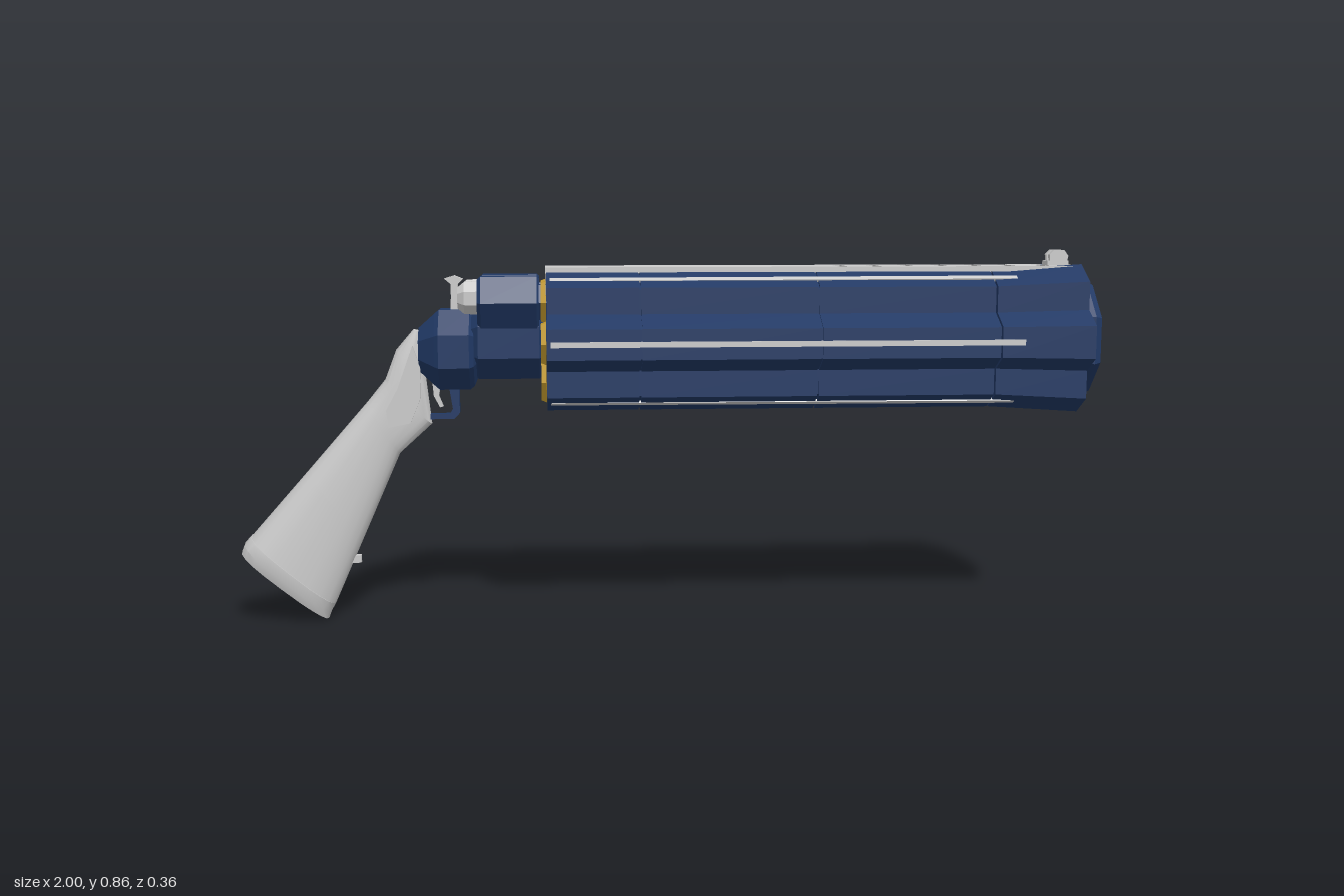
import * as THREE from 'three';
import { toCreasedNormals } from 'three/addons/utils/BufferGeometryUtils.js';

const AXIS = 0.66; // height of the barrel axis
const mat = (color, flatShading = true) =>
  new THREE.MeshStandardMaterial({ color, flatShading, side: THREE.DoubleSide });
const blue = mat(0x203864), grey = mat(0xcccccc), gold = mat(0xc29a2e), smooth = mat(0xcccccc, false);

export function createModel() {
  const model = new THREE.Group();
  const add = (name, geo, material, x = 0, y = 0, z = 0) => {
    const mesh = new THREE.Mesh(geo, material);
    mesh.name = name;
    mesh.position.set(x, y, z);
    model.add(mesh);
    return mesh;
  };
  const box = (name, m, w, h, d, x, y, z) => add(name, new THREE.BoxGeometry(w, h, d), m, x, y, z);

  // Faceted solid turned around the x axis, profile given as [x, apothem]
  const turned = (name, m, sides, profile, y = AXIS, z = 0) => {
    const k = 1 / Math.cos(Math.PI / sides);
    const pts = profile.map(([x, r]) => new THREE.Vector2(r * k, x));
    const geo = new THREE.LatheGeometry(pts, sides, Math.PI / sides);
    return add(name, geo.rotateZ(-Math.PI / 2), m, 0, y, z);
  };

  // Side profile in x, y extruded to a width centred on z
  const sideCut = (name, m, pts, width, z = 0) => {
    const shape = new THREE.Shape(pts.map(p => new THREE.Vector2(...p)));
    const geo = new THREE.ExtrudeGeometry(shape, { depth: width, bevelEnabled: false });
    return add(name, geo.translate(0, 0, -width / 2), m, 0, 0, z);
  };

  // Six-lobed barrel section
  const star = (s = 1) => {
    const pts = [];
    for (let i = 0; i < 6; i++) {
      for (const [r, w] of [[0.165, -0.035], [0.165, 0.035], [0.1128, 0.0651]]) {
        pts.push(new THREE.Vector2(r * s, w * s).rotateAround(new THREE.Vector2(), i * Math.PI / 3));
      }
    }
    return new THREE.Shape(pts);
  };
  const along = (shape, x0, x1) =>
    new THREE.ExtrudeGeometry(shape, { depth: x1 - x0, bevelEnabled: false })
      .rotateY(Math.PI / 2).translate(x0, 0, 0);

  // Barrel body in three lengths with fine joints over a core
  add('barrelCore', along(star(0.97), -0.28, 0.6), blue, 0, AXIS);
  const joints = [-0.285, -0.07, 0.34, 0.755];
  for (let i = 0; i < 3; i++) {
    add('barrelSection', along(star(), joints[i] + 0.002, joints[i + 1] - 0.002), blue, 0, AXIS);
  }

  // Flared muzzle section, open in the middle
  const flareShape = star();
  const hole = new THREE.Path();
  for (let i = 0; i < 8; i++) {
    const a = (i + 0.5) * Math.PI / 4, r = 0.118;
    hole[i ? 'lineTo' : 'moveTo'](r * Math.cos(a), r * Math.sin(a));
  }
  hole.closePath();
  flareShape.holes.push(hole);
  const flare = along(flareShape, 0.757, 0.97);
  const p = flare.attributes.position;
  for (let i = 0; i < p.count; i++) {
    const s = 1 + 0.085 * (p.getX(i) - 0.757) / 0.213;
    p.setXYZ(i, p.getX(i), p.getY(i) * s, p.getZ(i) * s);
  }
  add('muzzleFlare', flare, blue, 0, AXIS);
  turned('muzzleRing', blue, 8, [[0.95, 0.12], [0.955, 0.13], [0.985, 0.132], [1, 0.125], [1, 0.115],
    [0.975, 0.112], [0.61, 0.07]]);

  // Inner muzzle with a pointed round
  turned('boreRing', grey, 8, [[0.6, 0.072], [0.63, 0.066], [0.63, 0.054], [0.6, 0.05]]);
  turned('boreHex', blue, 6, [[0.6, 0.06], [0.625, 0.05], [0.625, 0.038], [0.6, 0.038]]);
  turned('boreTip', grey, 6, [[0.6, 0.04], [0.64, 0.036], [0.69, 0.017], [0.69, 0]]);

  // Strips on the lobes and brass caps behind them
  for (let i = 0; i < 6; i++) {
    const lobe = new THREE.Group();
    lobe.name = 'lobeTrim';
    const strip = new THREE.Mesh(new THREE.BoxGeometry(1.2, 0.013, 0.008), grey);
    strip.name = 'lobeStrip';
    strip.position.set(0.325, 0, 0.163);
    strip.rotation.y = -0.003;
    const cap = new THREE.Mesh(new THREE.CylinderGeometry(0.05, 0.055, 0.012, 6).rotateZ(Math.PI / 2), gold);
    cap.name = 'brassCap';
    cap.position.set(-0.29, 0, 0.105);
    lobe.add(strip, cap);
    lobe.rotation.x = i * Math.PI / 3;
    lobe.position.y = AXIS;
    model.add(lobe);
  }

  // Top rib: filler in the valley plus a slotted plate
  const filler = new THREE.Shape([[-0.054, 0.816], [0, 0.785], [0.054, 0.816]].map(v => new THREE.Vector2(...v)));
  add('ribFiller', along(filler, -0.285, 0.968), grey);
  const plate = new THREE.Shape([[-0.285, -0.062], [0.968, -0.062], [0.968, 0.062], [-0.285, 0.062]]
    .map(v => new THREE.Vector2(...v)));
  for (let i = 0; i < 7; i++) {
    const x = 0.405 + i * 0.08, w = 0.011, h = 0.052;
    plate.holes.push(new THREE.Path([[x - w, -h], [x - w, h], [x + w, h], [x + w, -h]]
      .map(v => new THREE.Vector2(...v))));
  }
  const plateGeo = new THREE.ExtrudeGeometry(plate, { depth: 0.012, bevelEnabled: false }).rotateX(-Math.PI / 2);
  add('slottedRib', plateGeo, grey, 0, 0.818);

  // Front sight with a notch
  box('sightBase', grey, 0.05, 0.012, 0.042, 0.925, 0.835, 0);
  for (const s of [-1, 1]) {
    sideCut('sightPost', grey, [[0.907, 0.83], [0.945, 0.83], [0.95, 0.852], [0.94, 0.866], [0.915, 0.866],
      [0.905, 0.855]], 0.013, s * 0.013);
  }

  // Receiver: core, two upper chambers and the rear block
  turned('receiverCore', blue, 8, [[-0.47, 0], [-0.47, 0.06], [-0.44, 0.088], [-0.3, 0.088], [-0.28, 0.07]]);
  for (const s of [-1, 1]) {
    const y = AXIS + 0.091, z = s * 0.0535;
    const chamber = turned('chamber', blue, 6, [[-0.44, 0], [-0.44, 0.052], [-0.432, 0.059], [-0.305, 0.059],
      [-0.3, 0.054], [-0.3, 0.04], [-0.28, 0.04]], y, z);
    chamber.rotation.x = s * Math.PI / 6;
    turned('chamberPlug', grey, 8, [[-0.485, 0], [-0.485, 0.024], [-0.47, 0.036], [-0.435, 0.038]], y + 0.01, z);
  }
  turned('rearBlock', blue, 8, [[-0.578, 0], [-0.578, 0.05], [-0.54, 0.084], [-0.53, 0.092], [-0.46, 0.092],
    [-0.45, 0.084], [-0.44, 0.06]], 0.64);
  box('bridge', grey, 0.05, 0.06, 0.06, -0.455, 0.755, 0);

  // Hammer
  sideCut('hammer', grey, [[-0.505, 0.72], [-0.47, 0.72], [-0.47, 0.75], [-0.488, 0.765], [-0.487, 0.79],
    [-0.475, 0.802], [-0.495, 0.81], [-0.518, 0.803], [-0.503, 0.79], [-0.503, 0.76]], 0.024);

  // Trigger guard and trigger
  sideCut('triggerGuard', blue, [[-0.47, 0.56], [-0.487, 0.545], [-0.487, 0.49], [-0.5, 0.476], [-0.555, 0.476],
    [-0.555, 0.488], [-0.51, 0.488], [-0.503, 0.5], [-0.51, 0.545], [-0.53, 0.56]], 0.024);
  sideCut('trigger', grey, [[-0.55, 0.565], [-0.53, 0.565], [-0.535, 0.53], [-0.525, 0.505], [-0.533, 0.503],
    [-0.547, 0.53]], 0.012);

  // Loft through sections given as [backX, backY, frontX, frontY, halfWidth]
  const loft = (name, sections, N = 20) => {
    const v = [], idx = [];
    sections.forEach(([bx, by, fx, fy, w]) => {
      for (let j = 0; j < N; j++) {
        const a = j / N * Math.PI * 2, c = Math.cos(a), s = Math.sin(a);
        const t = 0.5 + 0.5 * Math.sign(c) * Math.abs(c) ** 0.75;
        v.push(bx + (fx - bx) * t, by + (fy - by) * t,
          w * Math.sign(s) * Math.abs(s) ** 0.75 * (1 - 0.18 * c));
      }
    });
    const last = sections.length - 1;
    for (let i = 0; i < last; i++) for (let j = 0; j < N; j++) {
      const k = (j + 1) % N, a = i * N + j, b = i * N + k;
      idx.push(a, b, a + N, b, b + N, a + N);
    }
    for (const i of [0, last]) {
      const [bx, by, fx, fy] = sections[i], c = v.length / 3, inset = i ? 0.012 : 0;
      v.push((bx + fx) / 2 + inset, (by + fy) / 2 + inset, 0);
      for (let j = 0; j < N; j++) {
        const a = i * N + j, b = i * N + (j + 1) % N;
        idx.push(c, ...(i ? [a, b] : [b, a]));
      }
    }
    const geo = new THREE.BufferGeometry();
    geo.setAttribute('position', new THREE.Float32BufferAttribute(v, 3));
    geo.setIndex(idx);
    return add(name, toCreasedNormals(geo, 0.6), smooth);
  };

  // Grip and butt plate
  loft('grip', [
    [-0.592, 0.685, -0.568, 0.68, 0.02], [-0.632, 0.638, -0.565, 0.58, 0.03], [-0.658, 0.57, -0.552, 0.465, 0.035],
    [-0.7, 0.518, -0.628, 0.396, 0.038], [-0.84, 0.358, -0.715, 0.2, 0.052], [-0.975, 0.205, -0.786, 0.04, 0.065]]);
  loft('buttPlate', [
    [-0.976, 0.206, -0.786, 0.04, 0.068], [-0.992, 0.188, -0.797, 0.02, 0.068], [-1, 0.168, -0.803, 0.003, 0.06]]);

  // Side plates on the grip neck and the sling stud
  for (const s of [-1, 1]) {
    sideCut('neckPlate', grey, [[-0.592, 0.65], [-0.575, 0.6], [-0.575, 0.53], [-0.6, 0.47], [-0.65, 0.46],
      [-0.655, 0.5], [-0.628, 0.55]], 0.012, s * 0.032);
  }
  box('slingStud', grey, 0.022, 0.018, 0.016, -0.735, 0.145, 0);

  return model;
}
